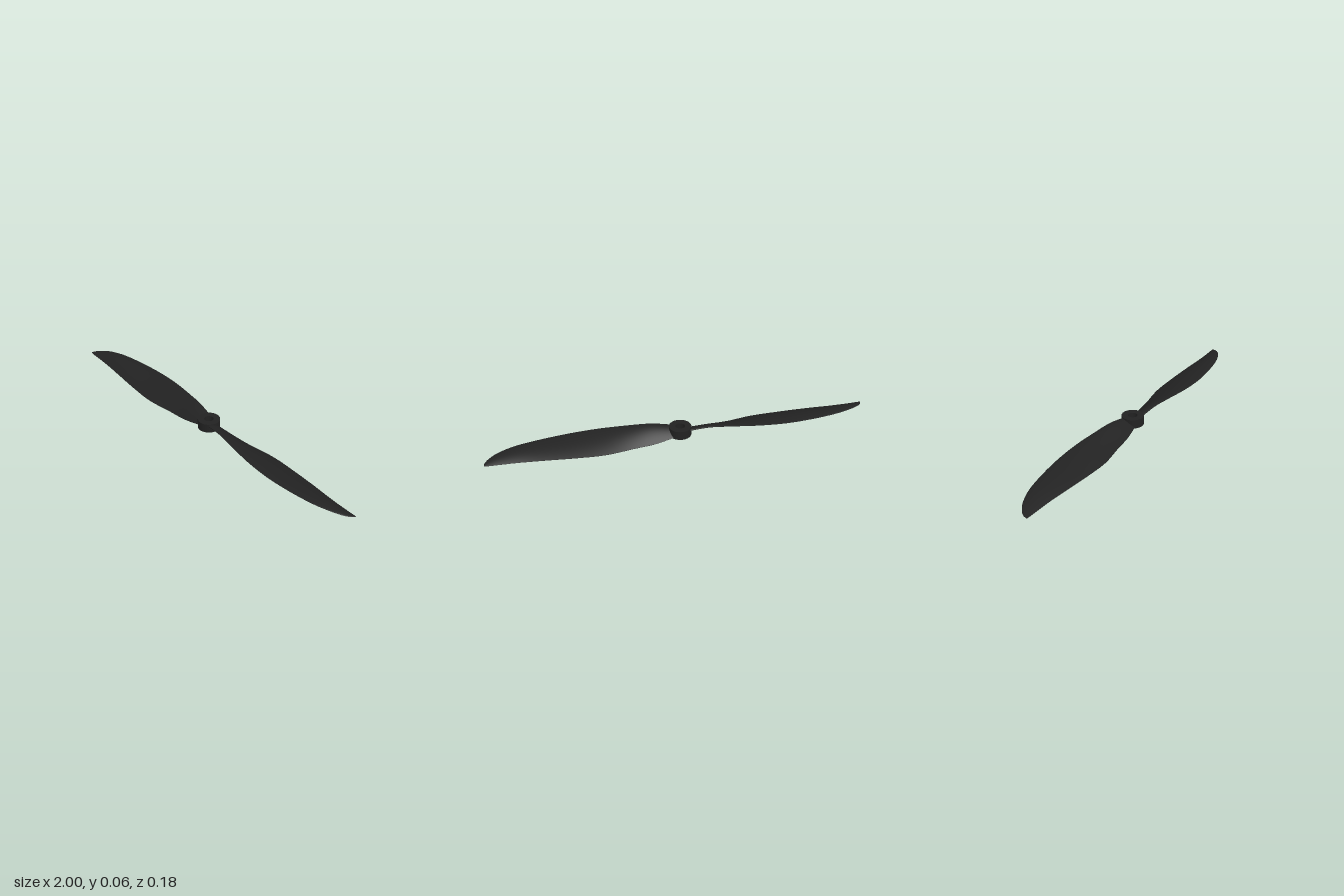
import * as THREE from 'three';

const material = new THREE.MeshStandardMaterial({ color: 0x222222 });

// Blade stations: x, leading z, leading y, trailing z, trailing y, camber, half thickness
const stations = [
  [0.035, 0.038, 0.046, -0.036, 0.016, 0.006, 0.007],
  [0.14, 0.053, 0.060, -0.052, 0.003, 0.009, 0.007],
  [0.25, 0.069, 0.058, -0.063, 0.001, 0.010, 0.006],
  [0.40, 0.088, 0.051, -0.083, 0.002, 0.010, 0.005],
  [0.55, 0.092, 0.044, -0.079, 0.006, 0.010, 0.004],
  [0.70, 0.080, 0.040, -0.068, 0.011, 0.010, 0.004],
  [0.83, 0.058, 0.037, -0.057, 0.013, 0.010, 0.004],
  [0.92, 0.027, 0.032, -0.053, 0.014, 0.007, 0.003],
  [0.97, -0.003, 0.025, -0.052, 0.015, 0.004, 0.002],
  [0.993, -0.027, 0.020, -0.051, 0.016, 0.002, 0.001],
  [1.0, -0.046, 0.018, -0.050, 0.017, 0.0, 0.0005],
];

// Uniform splines share the same x for the same parameter
const spline = (iy, iz) => new THREE.CatmullRomCurve3(
  stations.map((s) => new THREE.Vector3(s[0], s[iy], s[iz])), false, 'catmullrom', 0.5);

// Twisted, cambered blade lofted from aerofoil sections along +x
function bladeGeometry() {
  const rows = 80, half = 14, ring = half * 2;
  const leading = spline(2, 1), trailing = spline(4, 3), section = spline(5, 6);
  const positions = [], index = [];
  for (let i = 0; i <= rows; i++) {
    const t = i / rows;
    const lead = leading.getPoint(t), trail = trailing.getPoint(t), form = section.getPoint(t);
    for (let j = 0; j < ring; j++) {
      // over the top from trailing to leading edge, then back underneath
      const angle = (j / ring) * Math.PI * 2;
      const s = (1 + Math.cos(angle)) / 2;
      const side = j <= half ? 1 : -1;
      const p = lead.clone().lerp(trail, s);
      p.y += form.y * 4 * s * (1 - s) + side * form.z * 2.6 * Math.sqrt(s) * (1 - s);
      positions.push(p.x, Math.max(p.y, 0), p.z);
    }
  }
  for (let i = 0; i < rows; i++) {
    for (let j = 0; j < ring; j++) {
      const k = (j + 1) % ring;
      const a = i * ring + j, c = i * ring + k;
      index.push(a, c, a + ring, c, c + ring, a + ring);
    }
  }
  // Close the tip
  const tip = rows * ring;
  for (let j = 1; j < ring - 1; j++) index.push(tip, tip + j, tip + j + 1);
  const geometry = new THREE.BufferGeometry();
  geometry.setAttribute('position', new THREE.Float32BufferAttribute(positions, 3));
  geometry.setIndex(index);
  geometry.computeVertexNormals();
  return geometry;
}

// Hub with a round shaft bore
function hubGeometry() {
  const shape = new THREE.Shape().absarc(0, 0, 0.057, 0, Math.PI * 2, false);
  shape.holes.push(new THREE.Path().absarc(0, 0, 0.024, 0, Math.PI * 2, true));
  const geometry = new THREE.ExtrudeGeometry(shape, { depth: 0.047, bevelEnabled: false, curveSegments: 48 });
  return geometry.rotateX(-Math.PI / 2).translate(0, 0.01, 0);
}

export function createModel() {
  const group = new THREE.Group();
  group.name = 'propeller';

  const hub = new THREE.Mesh(hubGeometry(), material);
  hub.name = 'hub';
  group.add(hub);

  // Two identical blades, half a turn apart
  const geometry = bladeGeometry();
  ['leftBlade', 'rightBlade'].forEach((name, i) => {
    const blade = new THREE.Mesh(geometry, material);
    blade.name = name;
    blade.rotation.y = i * Math.PI;
    group.add(blade);
  });
  return group;
}
